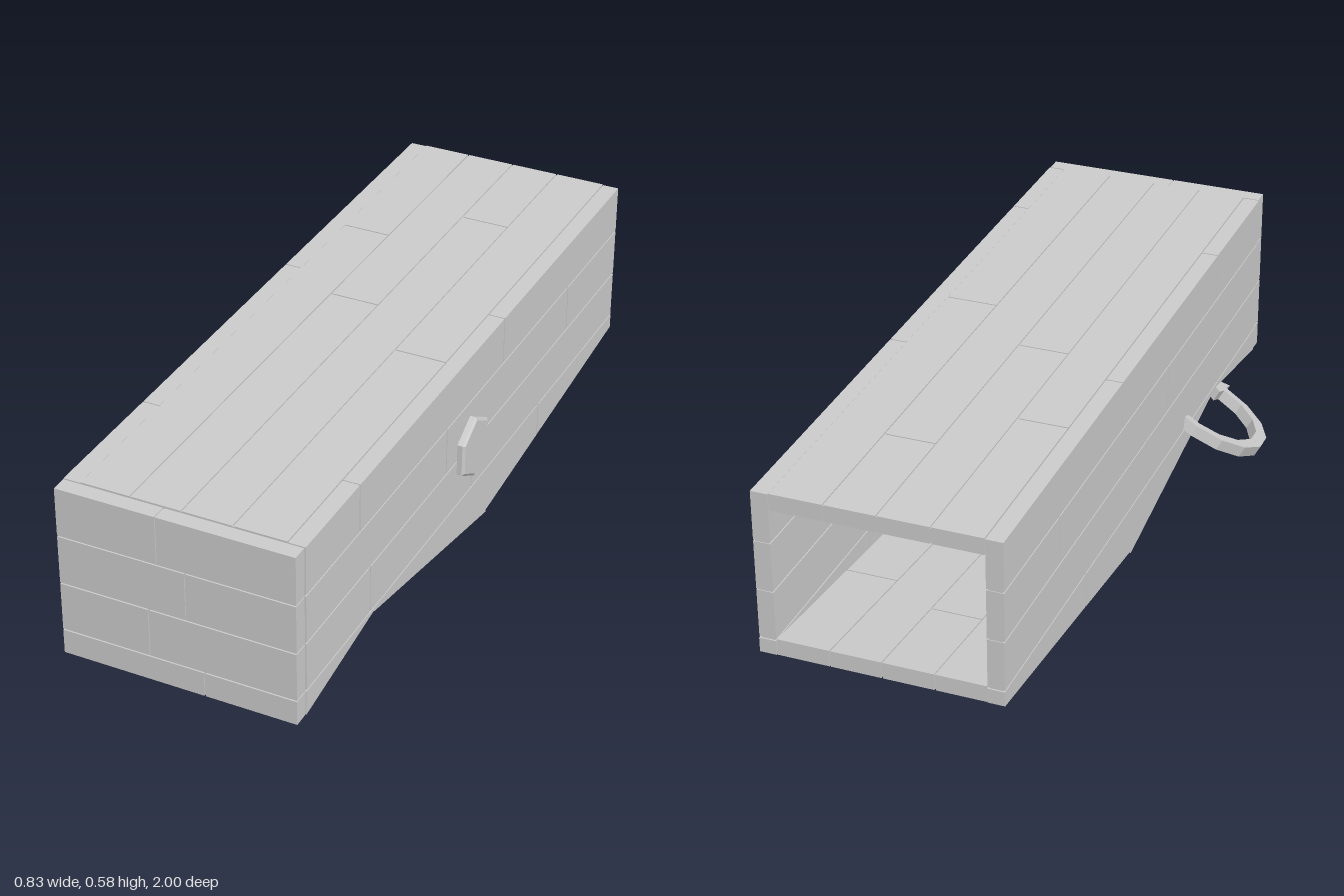
import * as THREE from 'three';

const X0 = -0.245, X1 = 0.395, T = 0.045, GAP = 0.004, IN = 0.004;
const ZB = -1, ZF = 0.955, TOP = 0.58;

export function createModel() {
  const model = new THREE.Group();
  const mat = new THREE.MeshStandardMaterial({ color: 0xcccccc, flatShading: true });
  const thin = new THREE.MeshStandardMaterial({ color: 0xcccccc, flatShading: true, side: THREE.DoubleSide });

  const group = (name) => {
    const g = new THREE.Group();
    g.name = name;
    model.add(g);
    return g;
  };
  const add = (parent, geo, name, m = mat) => {
    const mesh = new THREE.Mesh(geo, m);
    mesh.name = name;
    parent.add(mesh);
    return mesh;
  };
  // Box between two corners, leaving a narrow seam on the chosen axes
  const plank = (parent, a, b, seam, name = 'plank') => {
    const s = a.map((v, i) => b[i] - v - (seam.includes('xyz'[i]) ? GAP : 0));
    add(parent, new THREE.BoxGeometry(...s), name)
      .position.set((a[0] + b[0]) / 2, (a[1] + b[1]) / 2, (a[2] + b[2]) / 2);
  };
  // Backing board just under the surface, so the seams read as grooves
  const backing = (parent, a, b) =>
    plank(parent, a.map((v) => v + IN), b.map((v) => v - IN), '', 'backing');
  // Outline in (z, y), extruded from xa to xb
  const prism = (parent, pts, xa, xb, name) => {
    const shape = new THREE.Shape(pts.map((p) => new THREE.Vector2(...p)));
    const geo = new THREE.ExtrudeGeometry(shape, { depth: xb - xa, bevelEnabled: false });
    geo.rotateY(-Math.PI / 2).translate(xb, 0, 0);
    add(parent, geo, name);
  };
  // Runs fn over each piece of a row cut at the given joints
  const pieces = (from, joints, to, fn) => {
    const cuts = [from, ...joints, to];
    for (let i = 0; i < cuts.length - 1; i++) fn(cuts[i], cuts[i + 1]);
  };

  // Side walls: three straight rows and a shaped bottom row
  const rows = [0.167, 0.305, 0.442, TOP];
  const leftJoints = [[0, 0.61], [-0.64, 0.165], [-0.19, 0.67]];
  const rightJoints = [[0, 0.61], [-0.64, 0.165], [-0.195, 0.575]];
  for (const [name, xa, joints] of [['leftWall', X1 - T, leftJoints], ['rightWall', X0, rightJoints]]) {
    const wall = group(name);
    joints.forEach((cuts, i) => pieces(ZB, cuts, ZF, (z0, z1) =>
      plank(wall, [xa, rows[i], z0], [xa + T, rows[i + 1], z1], 'yz')));
    const y = rows[0] - GAP / 2;
    prism(wall, [[ZB, 0.125], [-0.457, 0.068], [-0.457, y], [ZB, y]], xa, xa + T, 'bottomPlank');
    prism(wall, [[-0.453, 0.067], [-0.1, 0.03], [0.58, 0.158], [ZF, 0.097], [ZF, y], [-0.453, y]],
      xa, xa + T, 'bottomPlank');
    prism(wall, [[ZB + IN, 0.13], [-0.1, 0.036], [0.58, 0.164], [ZF - IN, 0.103], [ZF - IN, TOP - IN],
      [ZB + IN, TOP - IN]], xa + IN, xa + T - IN, 'backing');
  }

  // Roof and sloping floor share the same four columns
  const cols = [X0 + T, -0.065, 0.072, 0.208, X1 - T];
  const roof = group('roof');
  [-0.46, -0.105, -0.645, 0.08].forEach((cut, i) => pieces(ZB, [cut], ZF, (z0, z1) =>
    plank(roof, [cols[i], TOP - T, z0], [cols[i + 1], TOP, z1], 'xz')));
  backing(roof, [cols[0], TOP - T, ZB], [cols[4], TOP, ZF]);
  const floor = group('floor');
  const floorY = (z) => 0.125 - (z + 1) * 0.1055;
  const slab = (a, b, xa, xb, d, name) => prism(floor,
    [[a, floorY(a) + d], [b, floorY(b) + d], [b, floorY(b) + T - d], [a, floorY(a) + T - d]], xa, xb, name);
  [-0.5, -0.7, -0.35, -0.6].forEach((cut, i) => pieces(ZB, [cut], -0.1, (z0, z1) =>
    slab(z0 + GAP / 2, z1 - GAP / 2, cols[i] + GAP / 2, cols[i + 1] - GAP / 2, 0, 'plank')));
  slab(ZB + 2 * IN, -0.1 - IN, cols[0], cols[4], IN, 'backing');

  // Front wall
  const front = group('frontWall');
  const frontRows = [0.095, ...rows];
  [0.147, 0, 0.102, 0.028].forEach((cut, i) => pieces(X0, [cut], X1, (xa, xb) =>
    plank(front, [xa, frontRows[i], ZF + GAP / 2], [xb, frontRows[i + 1], 1], 'xy')));
  backing(front, [X0, frontRows[0], ZF], [X1, TOP, 1]);

  // Underside frame from a to b in (z, y): a closed run of [inset, depth] steps
  // swept round the rectangle, and a panel closing it at the deepest step
  const frame = (name, xa, xb, a, b, section) => {
    const len = Math.hypot(b[0] - a[0], b[1] - a[1]);
    const dz = (b[0] - a[0]) / len, dy = (b[1] - a[1]) / len;
    const corner = (c, [inset, depth]) => {
      const x = c === 0 || c === 3 ? xa + inset : xb - inset;
      const s = c < 2 ? inset : len - inset;
      return [x, a[1] + dy * s + dz * depth, a[0] + dz * s - dy * depth];
    };
    const pos = [];
    const quad = (...q) => [0, 1, 2, 0, 2, 3].forEach((i) => pos.push(...q[i]));
    for (let c = 0; c < 4; c++) {
      const d = (c + 1) % 4;
      for (let k = 0; k < section.length - 1; k++) {
        quad(corner(c, section[k]), corner(d, section[k]), corner(d, section[k + 1]), corner(c, section[k + 1]));
      }
    }
    quad(...[0, 1, 2, 3].map((c) => corner(c, section[section.length - 1])));
    const geo = new THREE.BufferGeometry();
    geo.setAttribute('position', new THREE.Float32BufferAttribute(pos, 3));
    geo.computeVertexNormals();
    add(model, geo, name, thin);
  };
  // Shallow tray in the middle, with a batten across it
  frame('middleTray', X0 + 0.002, X1 - 0.002, [-0.11, 0.021], [0.58, 0.15],
    [[0, 0.03], [0, 0], [0.022, 0], [0.05, 0.045]]);
  prism(model, [[0.36, 0.13], [0.4, 0.138], [0.4, 0.172], [0.36, 0.165]], X0 + T, X1 - T, 'trayBatten');
  // Deep tapered hopper behind the front wall
  frame('frontHopper', X0 + T, X1 - T, [0.59, 0.148], [0.953, 0.079],
    [[0, 0.03], [0.012, 0], [0.028, 0], [0.09, 0.2]]);

  // Hexagonal boss on the left wall
  const bossProfile = [[0.09, 0], [0.09, 0.014], [0.082, 0.02], [0, 0.02]].map((p) => new THREE.Vector2(...p));
  const boss = add(model, new THREE.LatheGeometry(bossProfile, 6, Math.PI / 6), 'hexBoss');
  boss.rotation.z = -Math.PI / 2;
  boss.position.set(X1, 0.31, 0.02);

  // Curved arrow on the right: flat outline laid in a tilted plane
  const outline = new THREE.Shape();
  const N = 8, start = Math.PI * 1.08, end = -0.12;
  const arc = (i, a, b) => {
    const t = start + (end - start) * i / N;
    return [a * Math.cos(t), b * Math.sin(t)];
  };
  outline.moveTo(...arc(0, 0.222, 0.185));
  for (let i = 1; i <= N; i++) outline.lineTo(...arc(i, 0.222, 0.185));
  outline.lineTo(0.258, -0.022);
  outline.lineTo(0.205, -0.09);
  outline.lineTo(0.152, -0.022);
  for (let i = N; i >= 0; i--) outline.lineTo(...arc(i, 0.19, 0.15));
  const arrowGeo = new THREE.ExtrudeGeometry(outline, { depth: 0.032, bevelEnabled: false });
  arrowGeo.translate(0, 0, -0.016);
  const along = new THREE.Vector3(0, -0.13, 0.4).normalize();
  const out = new THREE.Vector3(-0.148, -0.075, -0.024);
  out.addScaledVector(along, -out.dot(along)).normalize();
  const basis = new THREE.Matrix4().makeBasis(along, out, along.clone().cross(out));
  basis.setPosition(-0.245, 0.122, 0.52);
  add(model, arrowGeo.applyMatrix4(basis), 'curvedArrow');

  return model;
}
